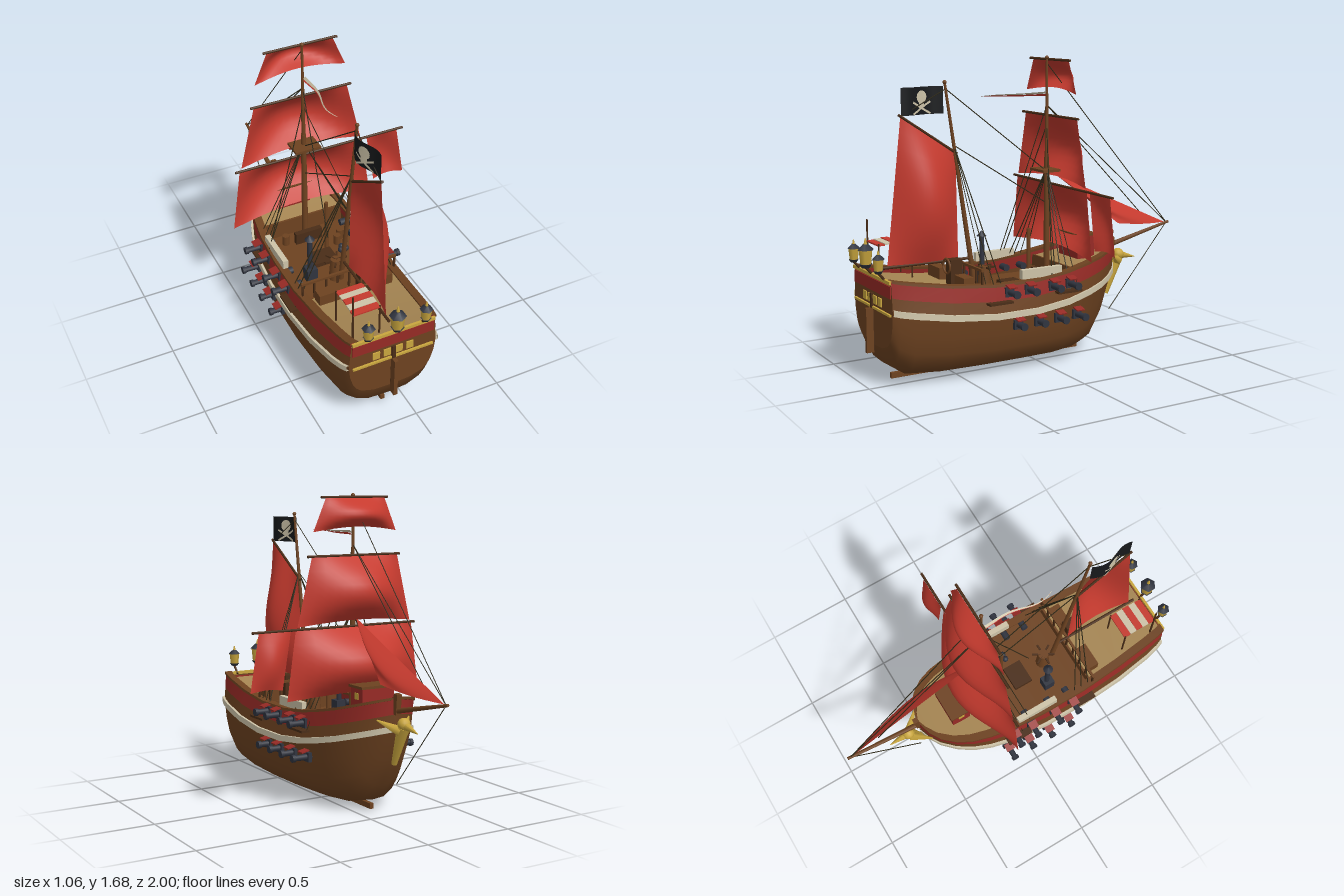
import * as THREE from 'three';
import { toCreasedNormals } from 'three/addons/utils/BufferGeometryUtils.js';

const V = (x, y, z) => new THREE.Vector3(x, y, z);
const mat = (name, color) => {
  const m = new THREE.MeshStandardMaterial({ color, side: THREE.DoubleSide });
  m.name = name;
  return m;
};
const M = {
  sail: mat('sailRed', 0xc53a2e), red: mat('paintRed', 0x962a25), wood: mat('hullBrown', 0x6d4220),
  dark: mat('darkWood', 0x4a2d17), deck: mat('deckTan', 0xa58552), cream: mat('cream', 0xcdc3a8),
  gold: mat('gold', 0xc9a63e), iron: mat('iron', 0x30343f), black: mat('flagBlack', 0x17191b), rope: mat('rope', 0x2f2a18),
};

// Hull stations: z, sheer height, half width at wale, half width at rail, bottom height
const ST = [
  [0.92, 0.58, 0.25, 0.235, 0.2], [0.88, 0.57, 0.265, 0.245, 0.1], [0.8, 0.555, 0.282, 0.255, 0.045],
  [0.6, 0.522, 0.305, 0.272, 0.028], [0.35, 0.498, 0.315, 0.285, 0.025], [0.1, 0.498, 0.312, 0.285, 0.025],
  [-0.1, 0.52, 0.3, 0.278, 0.025], [-0.25, 0.548, 0.27, 0.258, 0.028], [-0.35, 0.57, 0.235, 0.235, 0.055],
  [-0.43, 0.592, 0.188, 0.2, 0.15], [-0.5, 0.613, 0.125, 0.145, 0.3], [-0.54, 0.627, 0.065, 0.085, 0.42],
  [-0.56, 0.635, 0.01, 0.02, 0.47],
];
const WALE = 0.155;
const lerp = THREE.MathUtils.lerp;
function at(z) {
  let i = 0;
  while (i < ST.length - 2 && ST[i + 1][0] > z) i++;
  const t = (z - ST[i][0]) / (ST[i + 1][0] - ST[i][0]);
  return ST[i].map((a, k) => lerp(a, ST[i + 1][k], t));
}
const half = (s, d) => lerp(s[3], s[2], Math.min(d / WALE, 1)); // half width at depth d below the sheer

// Surface through cross-sections with equal point counts
function loft(sections, closed = false) {
  const m = sections[0].length, idx = [], n = closed ? m : m - 1;
  for (let i = 0; i < sections.length - 1; i++) for (let j = 0; j < n; j++) {
    const a = i * m + j, b = i * m + (j + 1) % m;
    idx.push(a, b, a + m, b, b + m, a + m);
  }
  const g = new THREE.BufferGeometry().setFromPoints(sections.flat());
  g.setIndex(idx);
  g.computeVertexNormals();
  return g;
}

// Lower section of the hull from wale to wale, fuller amidships and sharper forward
function lowerSection(s) {
  const [z, sheer, w, , bottom] = s, top = sheer - WALE;
  const sharp = 0.65 * THREE.MathUtils.clamp((-z - 0.1) / 0.45, 0, 1);
  const right = [[0, 0], [0.42, 0.02], [0.7, 0.13], [0.82, 0.25], [0.9, 0.4], [0.97, 0.68], [1, 1]]
    .map(([f, t]) => V(w * lerp(f, Math.pow(t, 0.8), sharp), lerp(bottom, top, t), z));
  const left = right.slice(1).reverse().map(p => V(-p.x, p.y, p.z));
  return [...left, ...right];
}

export function createModel() {
  const root = new THREE.Group(), ship = new THREE.Group();
  root.name = 'sailingShip';
  ship.name = 'ship';
  ship.position.x = -0.112;
  root.add(ship);

  const add = (name, geo, m, x = 0, y = 0, z = 0, rx = 0, ry = 0, rz = 0) => {
    const o = new THREE.Mesh(geo, m);
    o.name = name;
    o.position.set(x, y, z);
    o.rotation.set(rx, ry, rz);
    ship.add(o);
    return o;
  };
  const box = (name, m, w, h, d, x, y, z, rx, ry, rz) => add(name, new THREE.BoxGeometry(w, h, d), m, x, y, z, rx, ry, rz);
  const cyl = (name, m, r0, r1, h, x, y, z, n = 10) => add(name, new THREE.CylinderGeometry(r0, r1, h, n), m, x, y, z);
  const spar = (name, m, a, b, r0, r1 = r0, n = 8) => {
    const d = b.clone().sub(a), o = cyl(name, m, r1, r0, d.length(), 0, 0, 0, n);
    o.position.copy(a).addScaledVector(d, 0.5);
    o.quaternion.setFromUnitVectors(V(0, 1, 0), d.normalize());
  };
  const rope = (a, b) => spar('rope', M.rope, a, b, 0.0028, 0.0028, 4);

  // Hull
  add('hull', loft(ST.map(lowerSection)), M.wood);
  const strip = (name, m, d0, d1, inn, out) => [-1, 1].forEach(s => add(name, toCreasedNormals(loft(ST.map(st => {
    const p = (d, o) => V(s * Math.max(0, half(st, d) + o), st[1] - d, st[0]);
    return [p(d0, inn), p(d0, out), p(d1, out), p(d1, inn)];
  }), true), 0.6), m));
  strip('upperPlanking', M.wood, 0.08, WALE, -0.02, 0);
  strip('bulwark', M.red, 0, 0.08, -0.02, 0.002);
  strip('wale', M.cream, 0.14, 0.172, -0.01, 0.014);
  strip('capRail', M.wood, -0.01, 0.004, -0.035, 0.01);
  const end = ST[0], outline = lowerSection(end);
  const transom = new THREE.Shape([...outline, V(end[3], end[1], 0), V(-end[3], end[1], 0)].map(p => new THREE.Vector2(p.x, p.y)));
  add('transom', new THREE.ShapeGeometry(transom), M.wood, 0, 0, 0.92);
  box('keel', M.wood, 0.022, 0.03, 1.17, 0, 0.015, 0.245);
  box('sternRedBand', M.red, 0.465, 0.065, 0.008, 0, 0.525, 0.922);
  box('sternUpperTrim', M.gold, 0.47, 0.018, 0.014, 0, 0.575, 0.924);
  box('sternLowerTrim', M.gold, 0.46, 0.012, 0.014, 0, 0.405, 0.924);
  for (const x of [-0.097, -0.035, 0.033, 0.095]) box('sternWindow', M.gold, 0.04, 0.045, 0.008, x, 0.448, 0.923);
  box('sternPost', M.dark, 0.02, 0.32, 0.012, 0, 0.32, 0.928);
  box('rudder', M.wood, 0.022, 0.24, 0.04, 0, 0.28, 0.945);
  box('stemPost', M.wood, 0.03, 0.11, 0.03, 0, 0.61, -0.568, -0.1);

  // Decks, following the sheer or level
  const deck = (name, m, z0, z1, height) => {
    const zs = [z0, ...ST.map(s => s[0]).filter(z => z < z0 && z > z1), z1];
    add(name, loft(zs.map(z => {
      const s = at(z), y = height ?? s[1] - 0.03, h = Math.max(0, half(s, s[1] - y) - 0.01);
      return [V(-h, y, z), V(h, y, z)];
    })), m);
  };
  deck('aftDeck', M.deck, 0.92, 0.42);
  deck('mainDeck', M.wood, 0.43, -0.22, 0.415);
  deck('foreDeck', M.deck, -0.2, -0.555);
  box('aftBulkhead', M.wood, 0.56, 0.075, 0.012, 0, 0.443, 0.42);
  box('foreBulkhead', M.wood, 0.51, 0.11, 0.012, 0, 0.46, -0.2);
  box('aftDeckRail', M.wood, 0.56, 0.014, 0.014, 0, 0.59, 0.42);
  for (let i = -4; i <= 4; i++) box('railPost', M.dark, 0.01, 0.12, 0.01, i * 0.068, 0.53, 0.42);

  // Guns in two rows, with ports and open lids
  const gun = (z, y, reach) => [-1, 1].forEach(s => {
    const st = at(z), h = half(st, st[1] - y);
    const barrel = new THREE.CylinderGeometry(0.015, 0.02, reach - h + 0.08, 10).rotateZ(-s * Math.PI / 2);
    add('gunBarrel', barrel, M.iron, s * (reach + h - 0.08) / 2, y, z);
    add('gunMuzzle', new THREE.CylinderGeometry(0.021, 0.021, 0.018, 10).rotateZ(Math.PI / 2), M.iron, s * (reach - 0.009), y, z);
    box('gunPort', M.iron, 0.02, 0.052, 0.052, s * (h + 0.002), y, z);
    box('portLid', M.red, 0.045, 0.007, 0.05, s * (h + 0.028), y + 0.034, z, 0, 0, s * -0.25);
  });
  [0.27, 0.15, 0, -0.11].forEach(z => gun(z, 0.462, 0.385));
  [0.23, 0.1, -0.03, -0.155].forEach(z => gun(z, 0.285, 0.39));
  for (const s of [-1, 1]) {
    box('mizzenChannel', M.dark, 0.05, 0.012, 0.14, s * 0.315, 0.415, 0.34);
    box('mainChannel', M.dark, 0.05, 0.012, 0.15, s * 0.31, 0.425, -0.09);
    box('hammockRack', M.cream, 0.03, 0.05, 0.25, s * 0.262, 0.538, 0.055);
  }

  // Masts and spars
  const mizzen = y => V(0, y, 0.33 + (y - 0.5) * 0.15);
  spar('mainMast', M.wood, V(0, 0.41, -0.14), V(0, 1.12, -0.14), 0.018, 0.014, 12);
  spar('mainTopmast', M.wood, V(0, 1.05, -0.14), V(0, 1.67, -0.14), 0.012, 0.006, 10);
  spar('mizzenMast', M.wood, mizzen(0.46), mizzen(1.55), 0.015, 0.007, 10);
  add('mainTruck', new THREE.SphereGeometry(0.011, 10, 8), M.wood, 0, 1.67, -0.14);
  add('mizzenTruck', new THREE.SphereGeometry(0.011, 10, 8), M.wood, 0, 1.555, 0.488);
  spar('bowsprit', M.wood, V(0, 0.535, -0.4), V(0, 0.675, -0.995), 0.017, 0.008, 10);
  box('topPlatform', M.wood, 0.15, 0.014, 0.11, 0, 1.05, -0.13);
  for (const [y, a, b] of [[0.972, -0.395, 0.622], [1.352, -0.29, 0.292], [1.66, -0.208, 0.208]])
    spar('yard', M.dark, V(a, y, -0.158), V(b, y, -0.158), 0.007);
  spar('gaff', M.dark, V(0, 1.175, 0.42), V(0, 1.395, 0.755), 0.007);
  spar('boom', M.dark, V(0, 0.6, 0.36), V(0, 0.6, 0.87), 0.008);

  // Sails: four-cornered patches with a belly and a hollowed foot
  const sail = (name, tl, tr, bl, br, belly, foot = 0) => {
    const rows = [];
    for (let i = 0; i <= 10; i++) {
      const v = i / 10, row = [];
      for (let j = 0; j <= 14; j++) {
        const u = j / 14, p = tl.clone().lerp(tr, u).lerp(bl.clone().lerp(br, u), v);
        p.addScaledVector(belly, Math.sin(Math.PI * u) * Math.sin(Math.PI * Math.min(1, v * 0.93)));
        p.y += foot * v * v * Math.sin(Math.PI * u);
        row.push(p);
      }
      rows.push(row);
    }
    add(name, loft(rows), M.sail);
  };
  const square = (name, yt, yb, wt, wb, belly) => sail(name, V(-wt, yt, -0.165), V(wt, yt, -0.165),
    V(-wb, yb, -0.165), V(wb, yb, -0.165), V(0, 0, -belly), 0.025);
  square('mainCourse', 0.967, 0.595, 0.368, 0.42, 0.172);
  square('mainTopsail', 1.347, 0.985, 0.27, 0.357, 0.145);
  square('topgallantSail', 1.655, 1.48, 0.185, 0.26, 0.105);
  sail('studdingSail', V(0.397, 0.967, -0.165), V(0.587, 0.967, -0.165), V(0.447, 0.66, -0.165), V(0.637, 0.66, -0.165), V(0, 0, -0.045), 0.012);
  sail('spanker', V(0, 1.175, 0.43), V(0, 1.385, 0.745), V(0, 0.61, 0.42), V(0, 0.61, 0.835), V(0.11, 0, 0));
  sail('jib', V(0.01, 1.02, -0.19), V(0.01, 1.02, -0.19), V(0.1, 0.72, -0.56), V(0, 0.675, -0.965), V(0.05, -0.03, 0));

  // Rigging
  const tip = V(0, 0.672, -0.98);
  [[V(0, 1.64, -0.14), tip], [V(0, 1.41, -0.14), tip], [V(0, 1.41, -0.14), V(0, 0.735, -0.8)], [tip, V(0, 0.19, -0.57)],
    [mizzen(1.52), V(0, 1.04, -0.14)], [mizzen(1.22), V(0, 0.86, -0.14)], [V(0, 1.41, -0.14), V(0, 0.62, 0.16)],
    [mizzen(1.52), V(0, 1.385, 0.745)]].forEach(([a, b]) => rope(a, b));
  for (const s of [-1, 1]) {
    for (const z of [-0.16, -0.11, -0.06, -0.02]) rope(V(0, 1.06, -0.14), V(s * 0.3, 0.43, z));
    rope(V(0, 1.3, -0.14), V(s * 0.285, 0.5, 0.0));
    for (const z of [0.29, 0.34, 0.39]) rope(mizzen(1.22), V(s * 0.3, 0.42, z));
  }

  // Flag with painted emblem, all bent by the same wave; pennant
  const bend = (geo, off) => {
    const p = geo.attributes.position;
    for (let i = 0; i < p.count; i++) {
      const z = p.getX(i);
      p.setXYZ(i, -0.02 * Math.sin((z - 0.49) * 22) - 0.015 + off, p.getY(i), z);
    }
    geo.computeVertexNormals();
    return geo;
  };
  add('flag', bend(new THREE.PlaneGeometry(0.25, 0.145, 16, 2).translate(0.615, 1.462, 0), 0), M.black);
  for (const s of [-1, 1]) {
    add('flagDisc', bend(new THREE.CircleGeometry(0.034, 16).translate(0.615, 1.482, 0), s * 0.006), M.cream);
    add('flagJaw', bend(new THREE.PlaneGeometry(0.036, 0.035, 4, 1).translate(0.615, 1.443, 0), s * 0.006), M.cream);
    for (const a of [-0.5, 0.5])
      add('flagBar', bend(new THREE.PlaneGeometry(0.13, 0.011, 10, 1).rotateZ(a).translate(0.615, 1.425, 0), s * 0.005), M.cream);
  }
  const pennant = (m, y0, y1) => {
    const rows = [];
    for (let i = 0; i <= 16; i++) {
      const t = i / 16, x = 0.03 * Math.sin(t * 6.3) * t, k = 1 - t * 0.85;
      rows.push([V(x, 1.472 + y0 * k, -0.13 + 0.4 * t), V(x + 0.012 * k, 1.472 + y1 * k, -0.13 + 0.4 * t)]);
    }
    add('pennant', loft(rows), m);
  };
  pennant(M.cream, 0, 0.012);
  pennant(M.sail, -0.012, 0);

  // Stern lanterns
  for (const [x, k] of [[-0.162, 0.78], [0, 1], [0.162, 0.78]]) {
    const y = 0.615;
    spar('lanternBracket', M.dark, V(x, 0.57, 0.915), V(x, y, 0.955), 0.007);
    cyl('lanternBase', M.iron, 0.036 * k, 0.022 * k, 0.02 * k, x, y + 0.01 * k, 0.955, 6);
    cyl('lanternGlass', M.gold, 0.038 * k, 0.03 * k, 0.075 * k, x, y + 0.057 * k, 0.955, 6);
    cyl('lanternRoof', M.iron, 0.014 * k, 0.045 * k, 0.03 * k, x, y + 0.11 * k, 0.955, 6);
    cyl('lanternFinial', M.gold, 0.003, 0.01 * k, 0.03 * k, x, y + 0.14 * k, 0.955, 6);
  }

  // Figurehead
  spar('figureheadBody', M.gold, V(0, 0.29, -0.545), V(0, 0.5, -0.625), 0.015, 0.034);
  add('figureheadHead', new THREE.SphereGeometry(0.035, 12, 8), M.gold, 0, 0.515, -0.63);
  spar('figureheadHorn', M.gold, V(0, 0.51, -0.64), V(0, 0.487, -0.75), 0.024, 0.002);
  for (const s of [-1, 1]) spar('figureheadWing', M.gold, V(s * 0.015, 0.48, -0.62), V(s * 0.1, 0.53, -0.53), 0.028, 0.004, 5);

  // Fore deck cabin
  box('cabin', M.red, 0.2, 0.13, 0.11, 0, 0.605, -0.34);
  box('cabinRoof', M.wood, 0.22, 0.014, 0.13, 0, 0.675, -0.34);
  for (const s of [-1, 1]) box('cabinWindow', M.gold, 0.008, 0.035, 0.035, s * 0.1, 0.625, -0.34);

  // Deck fittings: capstan, stove pipe, hatch, bitts, shot
  cyl('capstan', M.wood, 0.03, 0.04, 0.13, 0, 0.48, 0.26);
  for (let i = 0; i < 3; i++) box('capstanBar', M.dark, 0.13, 0.01, 0.01, 0, 0.54, 0.26, 0, i * Math.PI / 3, 0);
  box('stove', M.iron, 0.06, 0.08, 0.06, -0.13, 0.455, 0.21);
  cyl('stovePipe', M.iron, 0.014, 0.014, 0.24, -0.13, 0.57, 0.205);
  cyl('stovePipeCap', M.iron, 0.002, 0.028, 0.03, -0.13, 0.7, 0.205);
  box('hatch', M.dark, 0.14, 0.025, 0.11, 0, 0.428, 0.09);
  cyl('bittPost', M.wood, 0.011, 0.011, 0.32, 0.06, 0.58, 0.015);
  box('mastBench', M.dark, 0.16, 0.07, 0.03, 0, 0.45, -0.1);
  for (const [x, z] of [[0.12, 0.08], [0.15, 0.08], [0.135, 0.055]]) add('shot', new THREE.SphereGeometry(0.018, 10, 8), M.iron, x, 0.433, z);
  for (const [x, z] of [[0.17, -0.04], [0.135, 0.0], [-0.13, -0.12]]) cyl('barrel', M.wood, 0.02, 0.02, 0.06, x, 0.445, z);
  box('leftSkylight', M.wood, 0.11, 0.07, 0.06, 0.165, 0.51, 0.47);
  box('rightSkylight', M.wood, 0.14, 0.07, 0.06, -0.14, 0.51, 0.47);
  box('steeringBox', M.dark, 0.06, 0.14, 0.07, 0.06, 0.55, 0.475);
  add('steeringWheel', new THREE.TorusGeometry(0.04, 0.006, 6, 16), M.wood, 0.06, 0.585, 0.52);

  // Striped awning on poles, with a tall staff
  for (let i = 0; i < 5; i++) box('awningStripe', i % 2 ? M.cream : M.sail, 0.15, 0.008, 0.04, -0.125, 0.72 - 0.004 * Math.abs(i - 2), 0.685 + i * 0.04);
  for (const x of [-0.2, -0.05]) for (const z of [0.67, 0.86]) cyl('awningPole', M.dark, 0.005, 0.005, 0.2, x, 0.62, z, 6);
  cyl('staff', M.dark, 0.005, 0.006, 0.3, -0.2, 0.68, 0.86, 6);
  return root;
}
